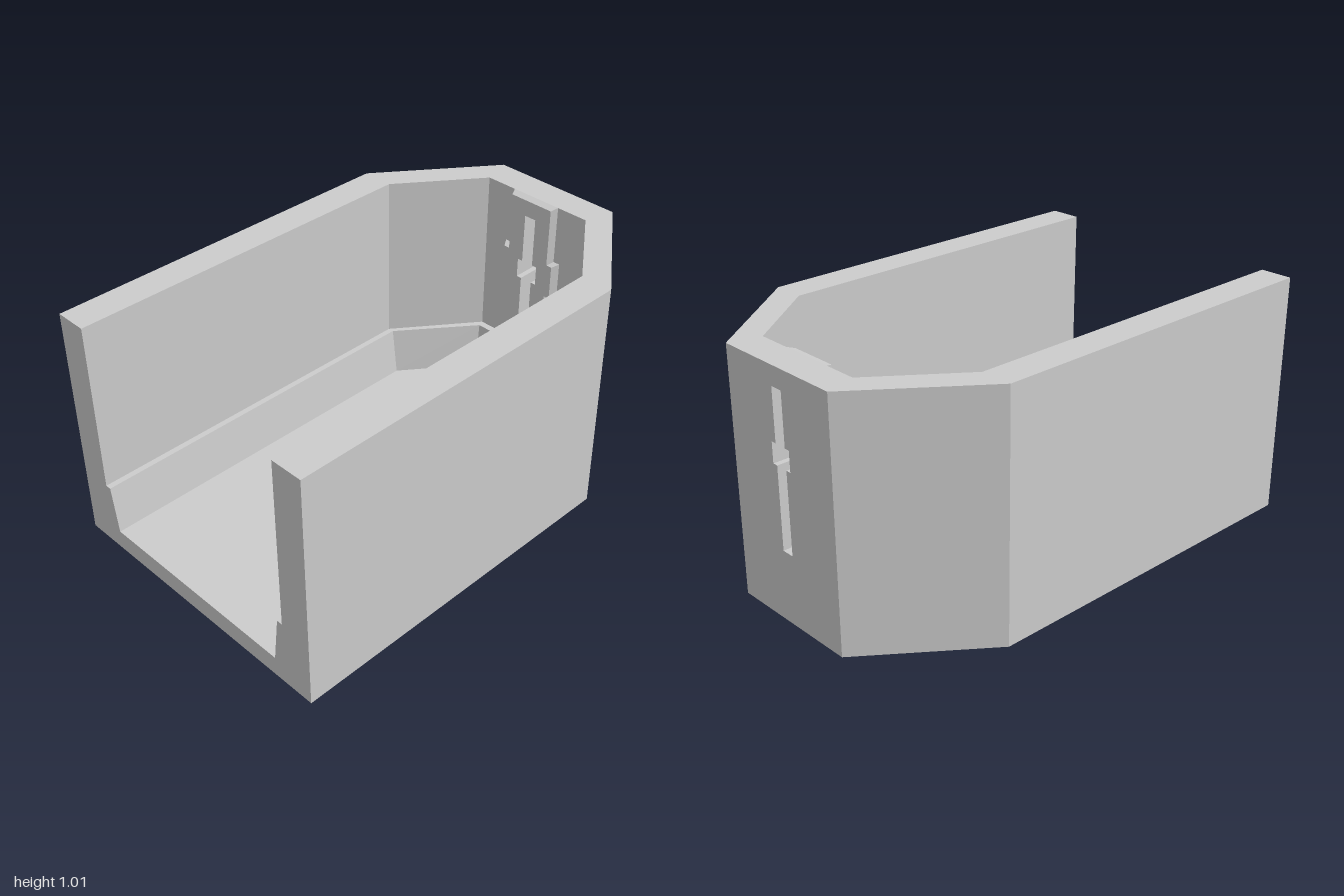
import * as THREE from 'three';

const H = 1.015, LEDGE = 0.29, FLOOR = 0.085;
const BACK = -1, WALL = -0.87, TIP = -0.84;

// Complete a right-hand half profile with its mirror image across x = 0
const mirror = (half) => [...half, ...half.map(([x, v]) => [-x, v]).reverse()];

// Plan outlines (x, z): left front, left corner, left back, then mirrored
const plan = (x, xBack, zBack) => mirror([[x, 1], [x, -0.53], [xBack, zBack]]);
const outer = plan(0.645, 0.29, BACK);
const upper = plan(0.51, 0.255, WALL);
const lowerTop = plan(0.485, 0.245, TIP);
const lowerBottom = plan(0.46, 0.24, -0.82);

const atY = (pts, y) => pts.map(([x, z]) => [x, y, z]);
const atZ = (pts, z) => pts.map(([x, y]) => [x, y, z]);

// Flat quads between two matching paths; one segment may be left out
function loft(a, b, closed = false, skip = -1) {
  const pos = [];
  const count = closed ? a.length : a.length - 1;
  for (let i = 0; i < count; i++) {
    if (i === skip) continue;
    const j = (i + 1) % a.length;
    pos.push(...a[i], ...a[j], ...b[j], ...a[i], ...b[j], ...b[i]);
  }
  const g = new THREE.BufferGeometry();
  g.setAttribute('position', new THREE.Float32BufferAttribute(pos, 3));
  g.computeVertexNormals();
  return g;
}

// Flat panel with an optional hole
function panel(pts, hole) {
  const vec = (list) => list.map(([x, y]) => new THREE.Vector2(x, y));
  const shape = new THREE.Shape(vec(pts));
  if (hole) shape.holes.push(new THREE.Path(vec(hole)));
  return new THREE.ShapeGeometry(shape);
}

export function createModel() {
  const group = new THREE.Group();
  const material = new THREE.MeshStandardMaterial({
    color: 0xcccccc, flatShading: true, side: THREE.DoubleSide,
  });
  const add = (name, geometry) => {
    const mesh = new THREE.Mesh(geometry, material);
    mesh.name = name;
    group.add(mesh);
  };

  // Cross-shaped slot through the back wall
  const slot = mirror([
    [0.027, 0.295], [0.027, 0.635], [0.05, 0.635],
    [0.05, 0.72], [0.027, 0.72], [0.027, 0.935],
  ]);
  // Raised plate around the slot, with sloping edges
  const plate = (w, wide, low, high, top) => mirror([
    [w, LEDGE], [w, low], [wide, low], [wide, high], [w, high], [w, top],
  ]);
  const plateBase = plate(0.115, 0.145, 0.587, 0.762, H);
  const plateTip = plate(0.102, 0.128, 0.6, 0.752, 1.006);
  const rect = (w, y0, y1) => mirror([[w, y0], [w, y1]]);

  // Outside: angled walls, back panel, top rim
  add('outerWalls', loft(atY(outer, 0), atY(outer, H), false, 2));
  add('backPanel', panel(rect(0.29, 0, H), slot).rotateY(Math.PI).translate(0, 0, BACK));
  add('topRim', loft(atY(outer, H), atY(upper, H)));

  // Inside: upper walls, ledge, tapered lower walls
  add('upperInnerWalls', loft(atY(upper, H), atY(upper, LEDGE), false, 2));
  add('innerBackPanel', panel(rect(0.255, LEDGE, H), slot).translate(0, 0, WALL));
  add('ledge', loft(atY(upper, LEDGE), atY(lowerTop, LEDGE)));
  add('lowerInnerWalls', loft(atY(lowerTop, LEDGE), atY(lowerBottom, FLOOR)));

  // Floor, and the underside recessed within the outer walls
  const flipped = lowerBottom.map(([x, z]) => [x, -z]);
  add('floor', panel(flipped).rotateX(-Math.PI / 2).translate(0, FLOOR, 0));
  add('underside', panel(outer).rotateX(Math.PI / 2).translate(0, FLOOR - 0.002, 0));

  // Front end of the walls and floor
  add('frontFace', panel(mirror([
    [0.645, 0], [0.645, H], [0.51, H], [0.51, LEDGE], [0.485, LEDGE], [0.46, FLOOR],
  ])).translate(0, 0, 1));

  // Slot plate and tunnel
  add('slotPlateFront', panel(plateTip, slot).translate(0, 0, TIP));
  add('slotPlateEdges', loft(atZ(plateBase, WALL), atZ(plateTip, TIP), true, 11));
  add('slotTunnel', loft(atZ(slot, TIP), atZ(slot, BACK), true));

  return group;
}
